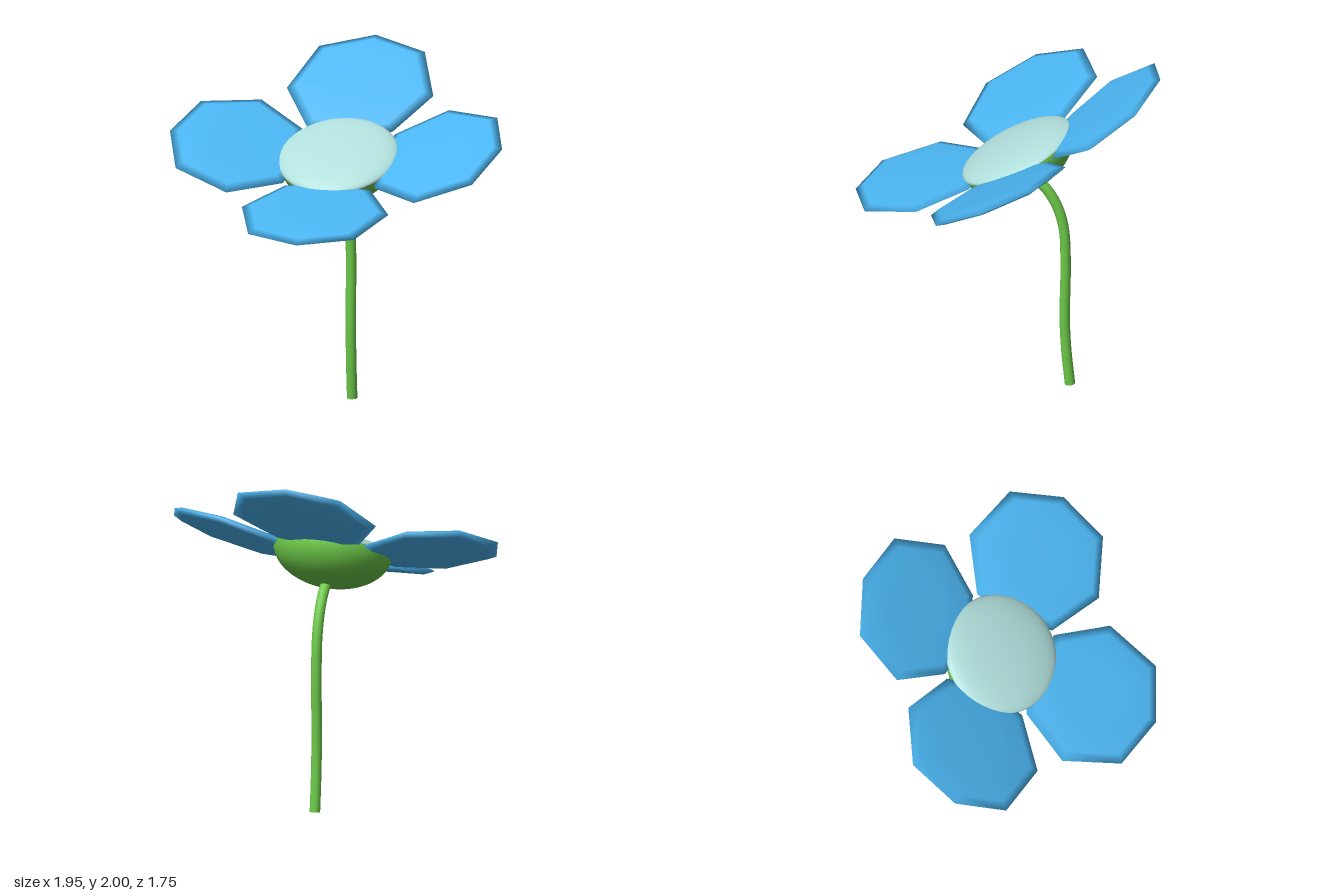
import * as THREE from 'three';

const material = (color) => new THREE.MeshStandardMaterial({ color });

// Octagonal petal pointing along +z: a thin body bevelled to a sharp edge
function petalGeometry() {
  const half = [[0.31, 0.87], [0.43, 0.55], [0.25, 0.27]];
  const outline = [[0, 0.975], ...half, [0, 0.2], ...half.map(([x, r]) => [-x, r]).reverse()];
  const n = outline.length, mid = 0.59;
  const rings = [[0.5, 0.023], [0.87, 0.02], [1, 0], [0.87, -0.02], [0.5, -0.023]];
  const positions = [], index = [];
  const add = (x, h, r) => positions.push(x, h + 0.19 * (r - 0.36), r); // petals rise outward
  for (const [s, h] of rings) {
    for (const [x, r] of outline) add(x * s, h, mid + (r - mid) * s);
  }
  const top = rings.length * n, bottom = top + 1;
  add(0, 0.024, mid);
  add(0, -0.024, mid);
  for (let i = 0; i < n; i++) {
    const j = (i + 1) % n;
    index.push(top, i, j);
    for (let k = 0; k < rings.length - 1; k++) {
      const a = k * n, b = a + n;
      index.push(a + i, b + i, b + j, a + i, b + j, a + j);
    }
    const last = (rings.length - 1) * n;
    index.push(bottom, last + j, last + i);
  }
  const geometry = new THREE.BufferGeometry();
  geometry.setAttribute('position', new THREE.Float32BufferAttribute(positions, 3));
  geometry.setIndex(index);
  geometry.computeVertexNormals();
  return geometry;
}

export function createModel() {
  const model = new THREE.Group();
  const blue = material(0x4ab4f0), green = material(0x6cc848), mint = material(0xb0dedb);

  function mesh(name, geometry, mat, parent) {
    const m = new THREE.Mesh(geometry, mat);
    m.name = name;
    parent.add(m);
    return m;
  }

  // Flower head, tilted toward the front
  const head = new THREE.Group();
  head.name = 'flowerHead';
  head.position.set(0, 1.465, -0.04);
  head.rotation.x = THREE.MathUtils.degToRad(26);
  model.add(head);

  const petal = petalGeometry();
  ['front', 'left', 'back', 'right'].forEach((side, i) => {
    mesh(side + 'Petal', petal, blue, head).rotation.y = i * Math.PI / 2;
  });

  // Shallow dome above, deeper cup below
  const dome = new THREE.SphereGeometry(0.345, 40, 12, 0, Math.PI * 2, 0, Math.PI / 2);
  mesh('flowerCentre', dome, mint, head).scale.y = 0.19;
  const cup = new THREE.SphereGeometry(0.34, 40, 16, 0, Math.PI * 2, Math.PI / 2, Math.PI / 2);
  mesh('cup', cup, green, head).scale.y = 0.65;

  // Curved stem with a closed foot
  const path = new THREE.CatmullRomCurve3([
    [0, -0.345], [0.2, -0.325], [0.4, -0.315], [0.8, -0.32],
    [1.0, -0.308], [1.14, -0.268], [1.25, -0.2], [1.32, -0.11],
  ].map(([y, z]) => new THREE.Vector3(0, y, z)));
  mesh('stem', new THREE.TubeGeometry(path, 48, 0.03, 16), green, model);
  const foot = mesh('stemFoot', new THREE.CircleGeometry(0.03, 16), green, model);
  foot.position.copy(path.getPointAt(0));
  foot.lookAt(foot.position.clone().sub(path.getTangentAt(0)));

  return model;
}
